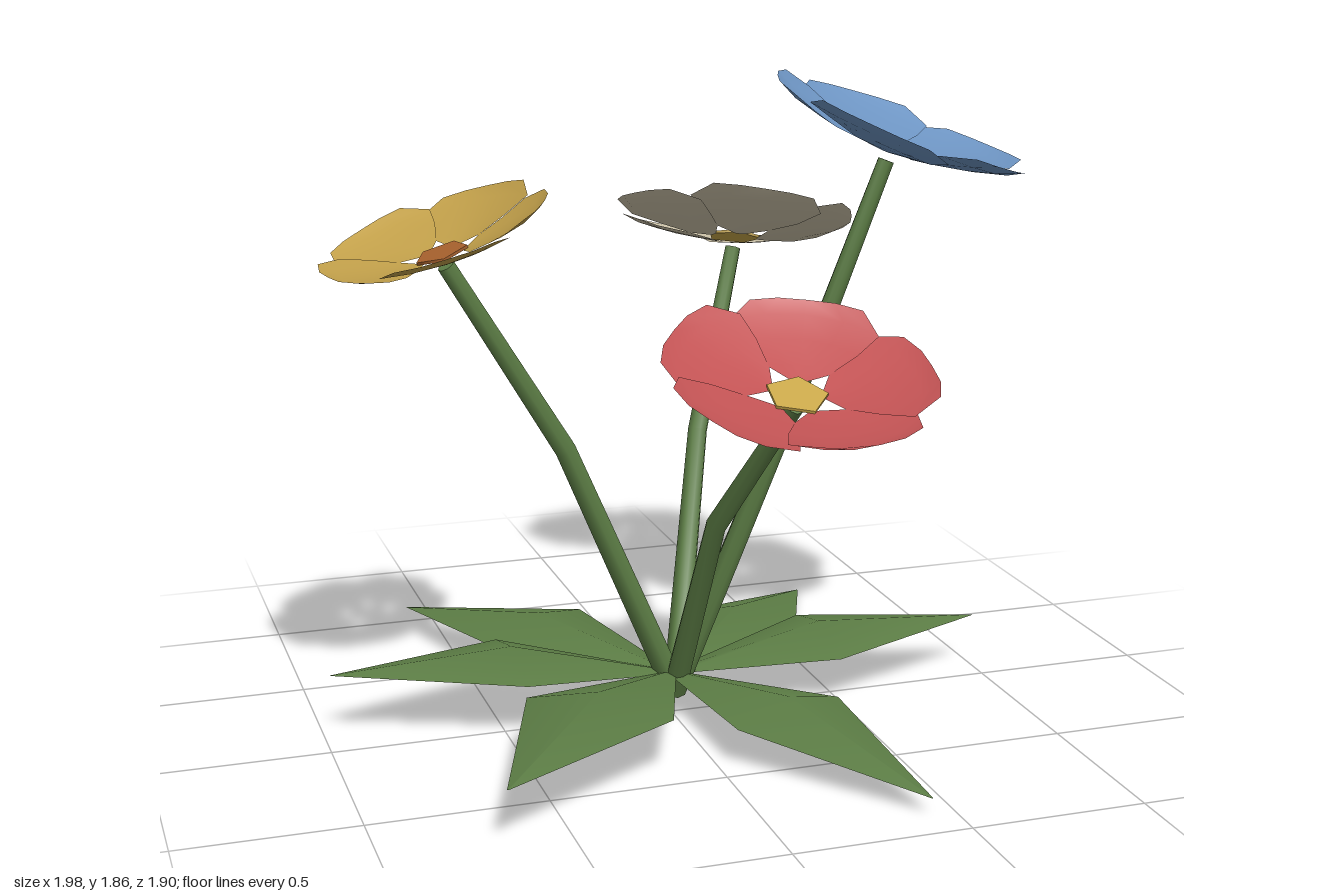
import * as THREE from 'three';

const mat = (name, color) => {
  const m = new THREE.MeshStandardMaterial({ color, side: THREE.DoubleSide });
  m.name = name;
  return m;
};
const V = (x, y, z) => new THREE.Vector3(x, y, z);
const RAD = Math.PI / 180;

// Grid of points (rows of equal length) to a smooth surface
function gridGeometry(rows) {
  const n = rows[0].length, pos = [], idx = [];
  rows.forEach((row, i) => row.forEach((p, j) => {
    pos.push(p.x, p.y, p.z);
    if (i && j) {
      const d = i * n + j, c = d - 1, b = d - n, a = b - 1;
      idx.push(a, b, c, b, d, c);
    }
  }));
  const g = new THREE.BufferGeometry();
  g.setAttribute('position', new THREE.Float32BufferAttribute(pos, 3));
  g.setIndex(idx);
  g.computeVertexNormals();
  return g;
}

function mesh(name, geometry, material) {
  const m = new THREE.Mesh(geometry, material);
  m.name = name;
  return m;
}

// Kite-shaped leaf with a raised midrib: base, wide middle, tip
function leafGeometry(base, tip, ridge, half) {
  const side = V(-(tip.z - base.z), 0, tip.x - base.x).normalize();
  const mid = base.clone().lerp(tip, 0.48).setY(ridge);
  const row = (c, w, drop) => [-1, 0, 1].map(s =>
    c.clone().addScaledVector(side, s * w).setY(c.y - Math.abs(s) * drop));
  return gridGeometry([row(base, 0.015, 0.005), row(mid, half, 0.05), row(tip, 0.002, 0)]);
}

// Bent stem lofted through rings, mitred at the bend
function stemGeometry(pts, radii, sides = 8) {
  const rows = pts.map((p, i) => {
    const t = V(0, 0, 0);
    if (i) t.add(p.clone().sub(pts[i - 1]).normalize());
    if (i < pts.length - 1) t.add(pts[i + 1].clone().sub(p).normalize());
    t.normalize();
    const u = V(1, 0, 0).addScaledVector(t, -t.x).normalize();
    const w = t.clone().cross(u);
    return Array.from({ length: sides + 1 }, (_, k) => {
      const a = k / sides * Math.PI * 2;
      return p.clone().addScaledVector(u, Math.cos(a) * radii[i])
        .addScaledVector(w, Math.sin(a) * radii[i]);
    });
  });
  // closed ends, with their own rings so the sides stay evenly smooth
  const last = rows[rows.length - 1];
  const copy = row => row.map(p => p.clone());
  const hub = p => last.map(() => p.clone());
  return gridGeometry([hub(pts[0]), copy(rows[0]), ...rows, copy(last), hub(pts[pts.length - 1])]);
}

// Cupped petal: [radius, half angle in degrees, height] per row
const PETAL = [[0.2, 9, 0], [0.37, 36, 0.03], [0.64, 40, 0.09], [0.88, 39, 0.16], [1, 25, 0.23]];
function petalGeometry(R) {
  return gridGeometry(PETAL.map(([r, half, h], i) => [-1, -0.5, 0, 0.5, 1].map(s => {
    const a = s * half * RAD;
    const rr = R * r * (i === 4 && s === 0 ? 0.985 : 1);
    // a slight twist lets neighbours overlap
    return V(Math.cos(a) * rr, R * (h + (i > 1 ? 0.02 * s : 0)), Math.sin(a) * rr);
  })));
}

export function createModel() {
  const root = new THREE.Group();
  root.name = 'flowerPlant';
  const green = mat('leafGreen', 0x5c7d45);
  const gold = mat('goldCentre', 0xc9a84a);
  const tan = mat('tanCentre', 0xbcab72);
  const rust = mat('rustCentre', 0xa8622e);

  // Leaves: tip, midrib height, half width
  const leaves = [
    [V(-0.6, 0.08, -0.91), 0.17, 0.21],
    [V(0.74, 0.0, -0.9), 0.125, 0.2],
    [V(0.99, 0.17, -0.06), 0.2, 0.2],
    [V(0.43, 0.05, 0.9), 0.165, 0.19],
    [V(-0.68, 0.17, 0.77), 0.22, 0.22],
    [V(-0.98, 0.19, -0.1), 0.22, 0.2],
  ];
  const leafBase = V(0.03, 0.09, -0.09);
  leaves.forEach(([tip, ridge, half], i) =>
    root.add(mesh('leaf' + (i + 1), leafGeometry(leafBase, tip, ridge, half), green)));

  // Flowers: centre, facing, radius, gap angle, stem bend
  const flowers = [
    { name: 'yellow', petal: mat('yellowPetal', 0xc2a04a), eye: rust, c: V(-0.665, 1.41, 0.075),
      n: V(-0.31, 0.93, 0.03), R: 0.32, gap: -83, bend: V(-0.3, 0.81, -0.04) },
    { name: 'red', petal: mat('redPetal', 0xc25354), eye: gold, c: V(0.16, 1.075, 0.57),
      n: V(0, 0.92, 0.34), R: 0.365, gap: -104, bend: V(0.06, 0.63, 0.22) },
    { name: 'blue', petal: mat('bluePetal', 0x6d94c2), eye: tan, c: V(0.58, 1.65, 0.17),
      n: V(0.32, 0.93, 0.12), R: 0.37, gap: 90, bend: V(0.3, 0.92, 0.15) },
    { name: 'cream', petal: mat('creamPetal', 0xcdc3a9), eye: gold, c: V(0.39, 1.285, -0.585),
      n: V(0.165, 0.92, -0.32), R: 0.365, gap: -85, bend: V(0.22, 0.73, -0.42) },
  ];
  for (const f of flowers) {
    const n = f.n.clone().normalize();
    const head = new THREE.Group();
    head.name = f.name + 'Flower';
    head.position.copy(f.c);
    head.quaternion.setFromUnitVectors(V(0, 1, 0), n);

    // Five petals leaving a star-shaped gap around the centre
    const petal = petalGeometry(f.R);
    for (let k = 0; k < 5; k++) {
      const p = mesh(f.name + 'Petal' + (k + 1), petal, f.petal);
      p.rotation.y = -(f.gap + 36 + k * 72) * RAD;
      head.add(p);
    }
    // Pentagonal centre, corners on the petals
    const eye = mesh(f.name + 'Centre', new THREE.CylinderGeometry(f.R * 0.235, f.R * 0.235, 0.008, 5), f.eye);
    eye.rotation.y = Math.PI / 2 - (f.gap + 36) * RAD;
    eye.position.y = 0.006;
    head.add(eye);
    root.add(head);

    // Stem from the root to just under the flower
    const top = f.c.clone().addScaledVector(n, -0.03);
    const foot = V(0.04, 0.03, -0.09);
    root.add(mesh(f.name + 'Stem', stemGeometry([foot, f.bend, top], [0.036, 0.03, 0.024]), green));
  }
  return root;
}
